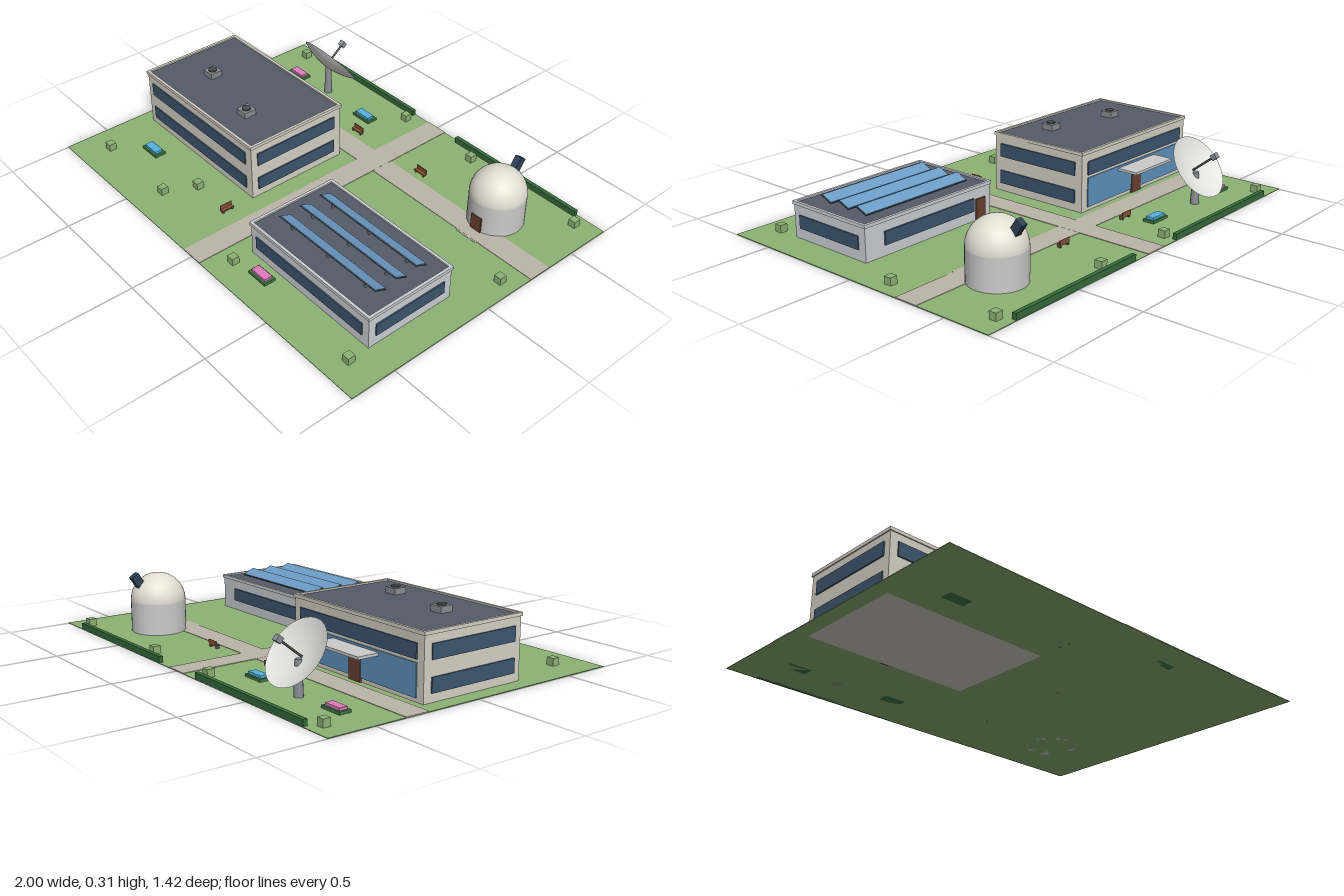
import * as THREE from 'three';

const mat = (color, side = THREE.FrontSide) => new THREE.MeshStandardMaterial({ color, side });
const M = {
  grass: mat(0x8db374), path: mat(0xbdb5a8), wall: mat(0xd6d2c6), labWall: mat(0xcdd1d6),
  roof: mat(0x565c68), glass: mat(0x3c566f), lobby: mat(0x5f93bf), door: mat(0x6b4030),
  wood: mat(0x8a5335), metal: mat(0x8a8f96), dark: mat(0x4a4d52), panel: mat(0x6c9cc6),
  canopy: mat(0xd8d8d4), hedge: mat(0x356b3a), bed: mat(0x3f7a45), pink: mat(0xe07ac0),
  blue: mat(0x52b4e0), drum: mat(0xcccdd0), dome: mat(0xe2dfd4), scope: mat(0x2f435a),
  dish: mat(0xe2e2de, THREE.DoubleSide),
};

function add(parent, name, geometry, material, x = 0, y = 0, z = 0) {
  const mesh = new THREE.Mesh(geometry, material);
  mesh.name = name;
  mesh.position.set(x, y, z);
  parent.add(mesh);
  return mesh;
}

// Box given by its extents on each axis
function box(parent, name, material, [x0, x1], [y0, y1], [z0, z1]) {
  return add(parent, name, new THREE.BoxGeometry(x1 - x0, y1 - y0, z1 - z0), material,
    (x0 + x1) / 2, (y0 + y1) / 2, (z0 + z1) / 2);
}

function subgroup(parent, name, x = 0, y = 0, z = 0) {
  const g = new THREE.Group();
  g.name = name;
  g.position.set(x, y, z);
  parent.add(g);
  return g;
}

// Walls, sunken roof deck and a parapet rim that overhangs a little
function shell(parent, wall, [x0, x1], h, [z0, z1]) {
  const o = 0.005, t = 0.013, y = [h - 0.015, h];
  box(parent, 'walls', wall, [x0, x1], [0, h - 0.014], [z0, z1]);
  box(parent, 'roofDeck', M.roof, [x0, x1], [h - 0.014, h - 0.007], [z0, z1]);
  for (const [a, b] of [[z0 - o, z0 - o + t], [z1 + o - t, z1 + o]])
    box(parent, 'parapet', wall, [x0 - o, x1 + o], y, [a, b]);
  for (const [a, b] of [[x0 - o, x0 - o + t], [x1 + o - t, x1 + o]])
    box(parent, 'parapet', wall, [a, b], y, [z0 - o + t, z1 + o - t]);
}

// Window band through the building, showing on both ends
function sideWindows(parent, [x0, x1], y, z) {
  for (const x of [x0, x1]) box(parent, 'sideWindow', M.glass, [x - 0.006, x + 0.006], y, z);
}

function mainBuilding(root) {
  const g = subgroup(root, 'mainBuilding');
  const X = [-0.93, -0.14], Z = [-0.217, 0.285];
  shell(g, M.wall, X, 0.28, Z);
  for (const y of [[0.04, 0.102], [0.168, 0.23]]) {
    box(g, 'frontWindow', M.glass, [-0.893, -0.18], y, [0.279, 0.291]);
    sideWindows(g, X, y, [-0.18, 0.253]);
  }
  box(g, 'backWindow', M.glass, [-0.893, -0.18], [0.168, 0.23], [-0.223, -0.211]);

  // Entrance on the back
  box(g, 'lobbyGlass', M.lobby, [-0.893, -0.18], [0.02, 0.155], [-0.222, -0.211]);
  box(g, 'entranceDoor', M.door, [-0.575, -0.505], [0, 0.108], [-0.226, -0.211]);
  box(g, 'canopy', M.canopy, [-0.68, -0.4], [0.134, 0.146], [-0.322, -0.217]);

  // Rooftop ventilation
  for (const [x, z] of [[-0.715, 0.067], [-0.36, 0.14]]) {
    const v = subgroup(g, 'roofVent', x, 0.27, z);
    add(v, 'ventBox', new THREE.BoxGeometry(0.06, 0.03, 0.06), M.metal, 0, 0.015, 0);
    add(v, 'ventFan', new THREE.CylinderGeometry(0.02, 0.02, 0.008, 16), M.dark, 0, 0.032, 0);
  }
}

function laboratory(root) {
  const g = subgroup(root, 'laboratory');
  const X = [0.14, 0.855], Z = [0.07, 0.502], y = [0.05, 0.108];
  shell(g, M.labWall, X, 0.163, Z);
  box(g, 'frontWindow', M.glass, [0.175, 0.82], y, [0.496, 0.508]);
  box(g, 'backWindow', M.glass, [0.245, 0.755], y, [0.062, 0.076]);
  sideWindows(g, X, y, [0.108, 0.467]);
  box(g, 'labDoor', M.door, [0.175, 0.23], [0, 0.1], [0.062, 0.076]);

  // Tilted solar rows on short posts
  for (const z of [0.168, 0.275, 0.382]) {
    const row = subgroup(g, 'solarRow', 0.498, 0.177, z);
    const tilt = subgroup(row, 'solarPanel');
    tilt.rotation.x = -0.4;
    add(tilt, 'panelBack', new THREE.BoxGeometry(0.575, 0.004, 0.062), M.dark);
    add(tilt, 'panelFace', new THREE.BoxGeometry(0.57, 0.003, 0.058), M.panel, 0, 0.003, 0);
    for (const x of [-0.22, 0, 0.22])
      add(row, 'panelPost', new THREE.BoxGeometry(0.008, 0.03, 0.008), M.metal, x, -0.012, 0.015);
  }
}

function observatory(root) {
  const g = subgroup(root, 'observatory', 0.64, 0, -0.428), r = 0.124;
  add(g, 'drum', new THREE.CylinderGeometry(r, r, 0.145, 40), M.drum, 0, 0.0725, 0);
  add(g, 'dome', new THREE.SphereGeometry(r, 40, 16, 0, Math.PI * 2, 0, Math.PI / 2), M.dome, 0, 0.145, 0);
  box(g, 'observatoryDoor', M.door, [-0.028, 0.028], [0, 0.08], [0.11, 0.127]);
  const scope = add(g, 'telescope', new THREE.BoxGeometry(0.03, 0.06, 0.038), M.scope, 0, 0.245, -0.105);
  scope.rotation.x = -0.58;
}

function dishAntenna(root) {
  const g = subgroup(root, 'dishAntenna', -0.575, 0, -0.533);
  add(g, 'pedestal', new THREE.CylinderGeometry(0.014, 0.02, 0.15, 12), M.metal, 0, 0.075, 0.012);
  const head = subgroup(g, 'dishHead', 0, 0.178, 0);
  head.rotation.x = -0.9;
  // Shallow bowl opening along the head's own y axis
  const depth = 0.036, profile = [];
  for (let i = 0; i <= 8; i++) {
    const t = i / 8;
    profile.push(new THREE.Vector2(0.15 * t, depth * (t * t - 1)));
  }
  add(head, 'bowl', new THREE.LatheGeometry(profile, 40), M.dish);
  add(head, 'feedArm', new THREE.CylinderGeometry(0.005, 0.005, 0.13, 8), M.dark, 0, 0.03, 0);
  add(head, 'feedBox', new THREE.BoxGeometry(0.026, 0.026, 0.026), M.metal, 0, 0.101, 0);
}

function grounds(root) {
  const g = subgroup(root, 'grounds');
  box(g, 'lawn', M.grass, [-1, 1], [0, 0.003], [-0.712, 0.712]);
  box(g, 'crossPath', M.path, [-1, 1], [0.001, 0.005], [-0.36, -0.25]);
  box(g, 'mainPath', M.path, [-0.055, 0.055], [0.001, 0.0055], [-0.712, 0.712]);
  box(g, 'observatoryPath', M.path, [0.587, 0.695], [0.001, 0.0045], [-0.32, -0.242]);

  for (const x of [[-0.86, -0.145], [0.14, 0.855]])
    box(g, 'hedge', M.hedge, x, [0, 0.03], [-0.711, -0.692]);

  const bushes = [[-0.895, -0.647], [-0.145, -0.647], [0.285, -0.647], [0.89, -0.647], [0.925, -0.147],
    [-0.86, 0.563], [-0.43, 0.563], [-0.36, 0.422], [0.14, 0.6], [0.855, 0.6]];
  for (const [x, z] of bushes)
    add(g, 'bush', new THREE.BoxGeometry(0.035, 0.036, 0.035), M.grass, x, 0.018, z);

  const beds = [[-0.785, -0.507, M.pink], [-0.287, -0.507, M.blue], [-0.715, 0.422, M.blue], [0.285, 0.565, M.pink]];
  for (const [x, z, flowers] of beds) {
    const bed = subgroup(g, 'flowerBed', x, 0, z);
    add(bed, 'bedBase', new THREE.BoxGeometry(0.106, 0.015, 0.055), M.bed, 0, 0.0075, 0);
    add(bed, 'flowers', new THREE.BoxGeometry(0.085, 0.014, 0.038), flowers, 0, 0.019, 0);
  }

  for (const [x, z, turn] of [[-0.215, -0.398, 0], [0.21, -0.398, 0], [-0.145, 0.422, Math.PI / 2]]) {
    const bench = subgroup(g, 'bench', x, 0, z);
    bench.rotation.y = turn;
    box(bench, 'benchSeat', M.wood, [-0.03, 0.03], [0.013, 0.018], [-0.01, 0.01]);
    box(bench, 'benchBack', M.wood, [-0.03, 0.03], [0.018, 0.036], [-0.01, -0.006]);
    for (const lx of [-0.024, 0.024])
      box(bench, 'benchLeg', M.dark, [lx - 0.003, lx + 0.003], [0, 0.013], [-0.008, 0.008]);
  }
}

export function createModel() {
  const root = new THREE.Group();
  root.name = 'researchCampus';
  for (const build of [grounds, mainBuilding, laboratory, observatory, dishAntenna]) build(root);
  return root;
}
